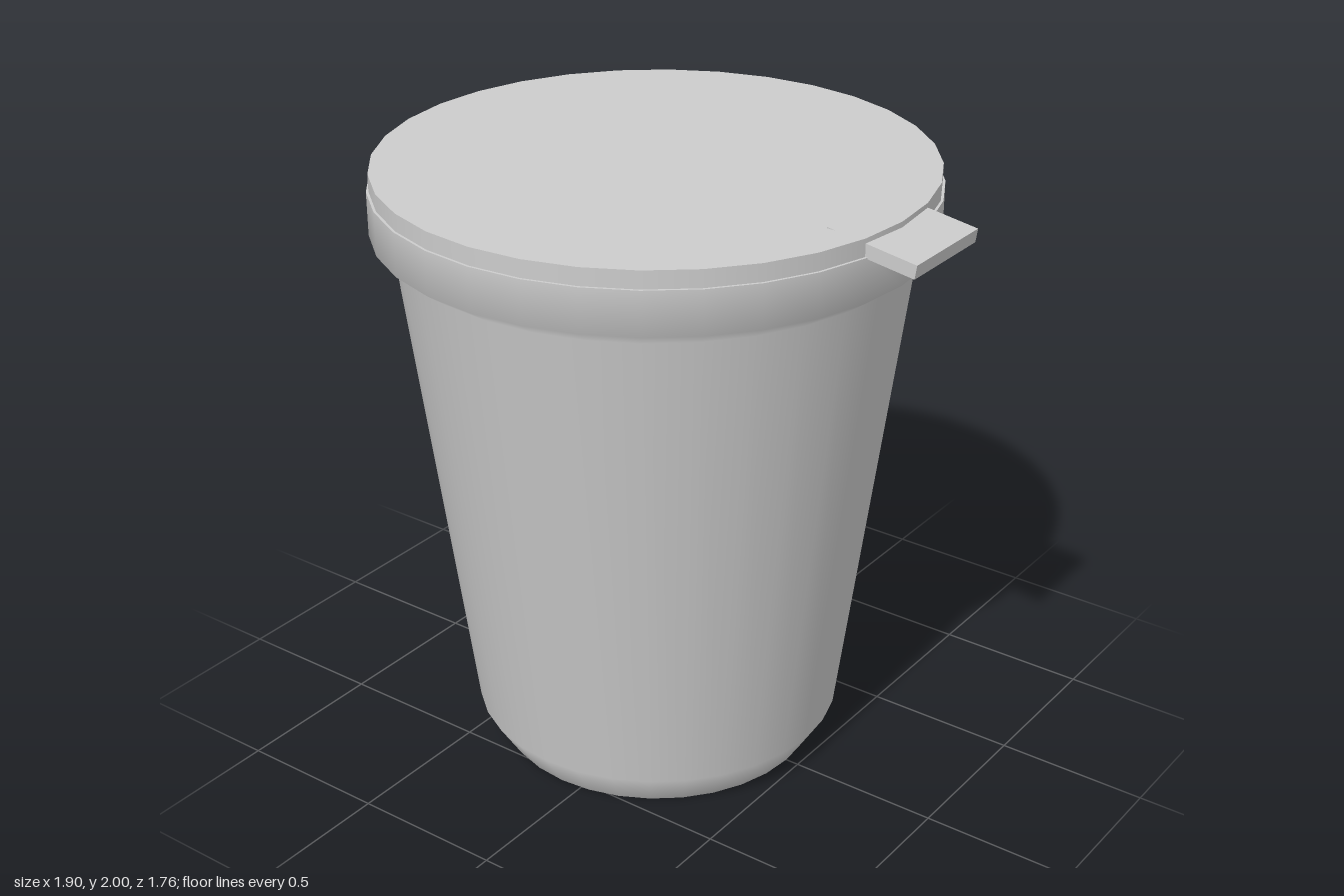
import * as THREE from 'three';

const SIDES = 32;

export function createModel() {
  const model = new THREE.Group();
  model.name = 'lidded cup';

  const plastic = new THREE.MeshStandardMaterial({ color: 0xcccccc, side: THREE.DoubleSide });
  plastic.name = 'light grey plastic';

  const add = (name, geometry, x, y, z = 0) => {
    const mesh = new THREE.Mesh(geometry, plastic);
    mesh.name = name;
    mesh.position.set(x, y, z);
    model.add(mesh);
    return mesh;
  };

  // The tab overhangs on +x, so the round body sits slightly to -x
  const cx = -0.075;

  // Thin tapered wall, open below, with a chamfered foot and a wide rim band
  const wall = [
    [0.53, 0], [0.605, 0.12], [0.81, 1.75], [0.88, 1.8], [0.88, 1.94],
  ].map(([r, y]) => new THREE.Vector2(r, y));
  add('cup', new THREE.LatheGeometry(wall, SIDES), cx, 0);

  // Flat ledge between the rim and the lid
  const ledge = new THREE.RingGeometry(0.86, 0.88, SIDES).rotateX(-Math.PI / 2);
  add('rimLedge', ledge, cx, 1.94);

  // Disc lid, set just inside the rim
  add('lid', new THREE.CylinderGeometry(0.872, 0.872, 0.056, SIDES), cx, 1.968);

  // Opening tab, tilted down through the lid edge
  const tab = add('tab', new THREE.BoxGeometry(0.3, 0.044, 0.34), 0.797, 1.956);
  tab.rotation.z = -0.15;

  return model;
}
